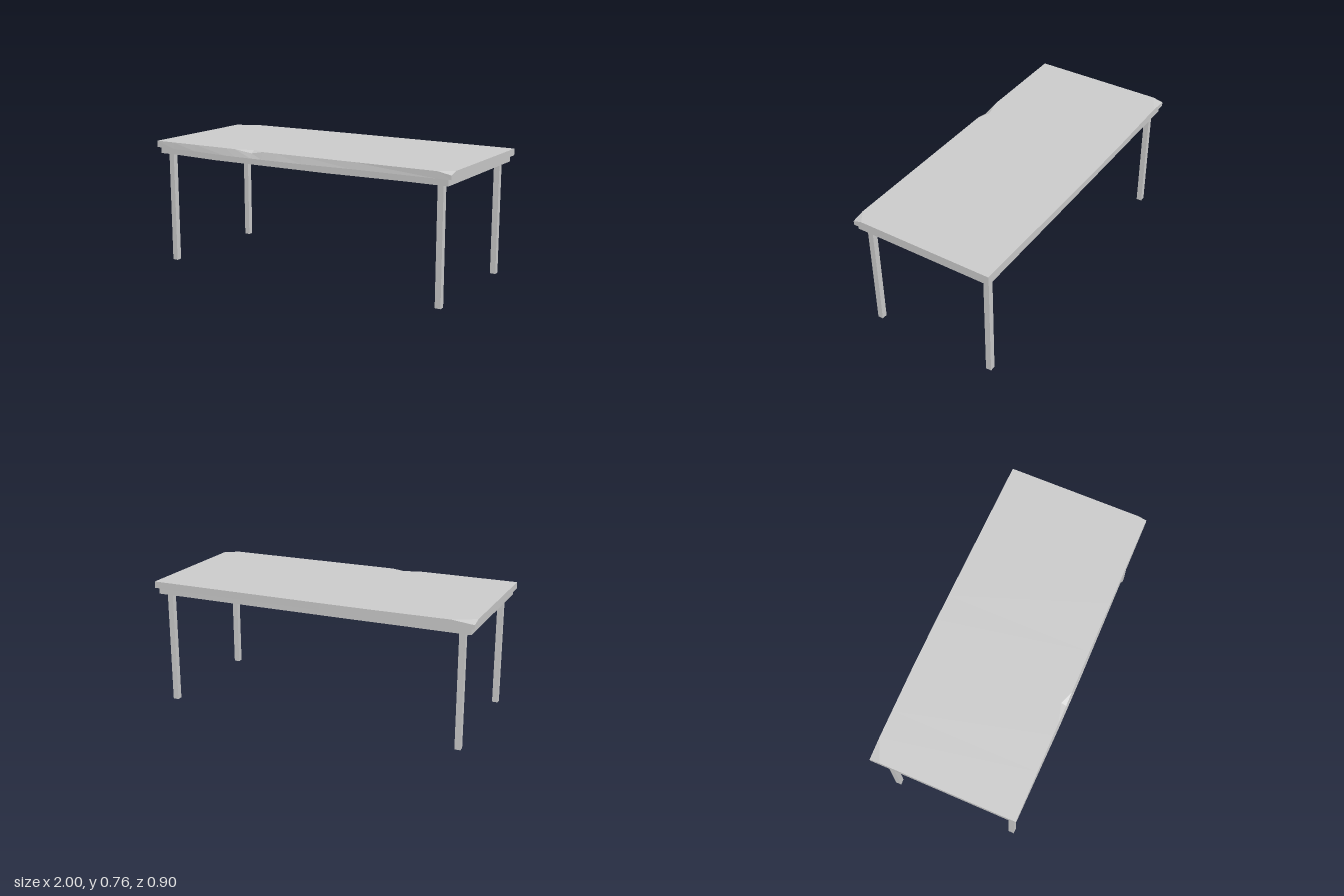
import * as THREE from 'three';

const material = new THREE.MeshStandardMaterial({ color: 0xcccccc, flatShading: true });
const TOP = 0.765, UNDER = 0.725, RIM = 0.688;

// piecewise-linear lookup in a short list of [x, value] pairs
function lerpAt(points, x) {
  if (x <= points[0][0]) return points[0][1];
  for (let i = 1; i < points.length; i++) {
    const [x0, v0] = points[i - 1], [x1, v1] = points[i];
    if (x <= x1) return v0 + (v1 - v0) * (x - x0) / (x1 - x0);
  }
  return points[points.length - 1][1];
}

// slab swept along x, with worn edges, chipped corners and a nick in the front edge
function slabGeometry() {
  const backZ = [[-1, 0.443], [-0.4, 0.453], [-0.1, 0.453], [1, 0.443]];
  const backWear = [[-1, 1], [-0.87, 0]];
  const frontWear = [[-0.4, 0], [-0.28, 0.55], [-0.2, 0], [0.92, 0], [1, 1]];
  const frontLowZ = [[-1, 0.44], [-0.38, 0.45], [-0.1, 0.45], [1, 0.44]];
  const frontLowY = [[-0.7, UNDER], [-0.47, 0.721], [0.07, 0.721], [0.4, UNDER]];
  const xs = [-1, -0.87, -0.7, -0.47, -0.4, -0.28, -0.2, -0.1, 0.07, 0.4, 0.92, 1];

  const rings = xs.map((x) => {
    const zb = lerpAt(backZ, x), wb = lerpAt(backWear, x), wf = lerpAt(frontWear, x);
    return [
      [-zb, UNDER],
      [-zb, TOP - 0.015 * wb],
      [-zb + 0.065 * wb, TOP],
      [0.44 - 0.055 * wf, TOP],
      [0.44, TOP - 0.015 * Math.min(1, wf * 1.8)],
      [lerpAt(frontLowZ, x), lerpAt(frontLowY, x)],
    ].map(([z, y]) => new THREE.Vector3(x, y, z));
  });

  const pos = [];
  const tri = (...corners) => corners.forEach((p) => pos.push(p.x, p.y, p.z));
  for (let i = 0; i < rings.length - 1; i++) {
    const a = rings[i], b = rings[i + 1];
    for (let j = 0; j < 6; j++) {
      const k = (j + 1) % 6;
      tri(a[j], a[k], b[k]);
      tri(a[j], b[k], b[j]);
    }
  }
  const first = rings[0], last = rings[rings.length - 1];
  for (let j = 1; j < 5; j++) {
    tri(first[0], first[j + 1], first[j]);
    tri(last[0], last[j], last[j + 1]);
  }
  const geometry = new THREE.BufferGeometry();
  geometry.setAttribute('position', new THREE.Float32BufferAttribute(pos, 3));
  geometry.computeVertexNormals();
  return geometry;
}

// rail whose lower edge sags slightly between two points
function railGeometry(half, thickness, sagStart, sagEnd, sag) {
  const shape = new THREE.Shape([
    [-half, UNDER], [-half, RIM], [sagStart - 0.3, RIM], [sagStart, RIM - sag],
    [sagEnd, RIM - sag], [sagEnd + 0.5, RIM], [half, RIM], [half, UNDER],
  ].map(([x, y]) => new THREE.Vector2(x, y)));
  return new THREE.ExtrudeGeometry(shape, { depth: thickness, bevelEnabled: false });
}

export function createModel() {
  const table = new THREE.Group();
  table.name = 'table';
  const add = (name, geometry, x = 0, y = 0, z = 0) => {
    const mesh = new THREE.Mesh(geometry, material);
    mesh.name = name;
    mesh.position.set(x, y, z);
    table.add(mesh);
    return mesh;
  };

  add('tabletop', slabGeometry());

  // rails under the top
  add('frontRail', railGeometry(0.98, 0.03, -0.56, 0.23, 0.006), 0, 0, 0.4);
  add('backRail', railGeometry(0.98, 0.03, -0.3, 0.3, 0.001), 0, 0, -0.43);
  for (const side of [-1, 1]) {
    add(side > 0 ? 'leftRail' : 'rightRail',
      new THREE.BoxGeometry(0.04, UNDER - RIM, 0.8), side * 0.96, (UNDER + RIM) / 2, 0);
  }

  // square legs standing in the inner corners of the rails
  for (const sx of [-1, 1]) {
    for (const sz of [-1, 1]) {
      add((sz > 0 ? 'front' : 'back') + (sx > 0 ? 'Left' : 'Right') + 'Leg',
        new THREE.BoxGeometry(0.035, UNDER, 0.034), sx * 0.922, UNDER / 2, sz * 0.385);
    }
  }
  return table;
}
